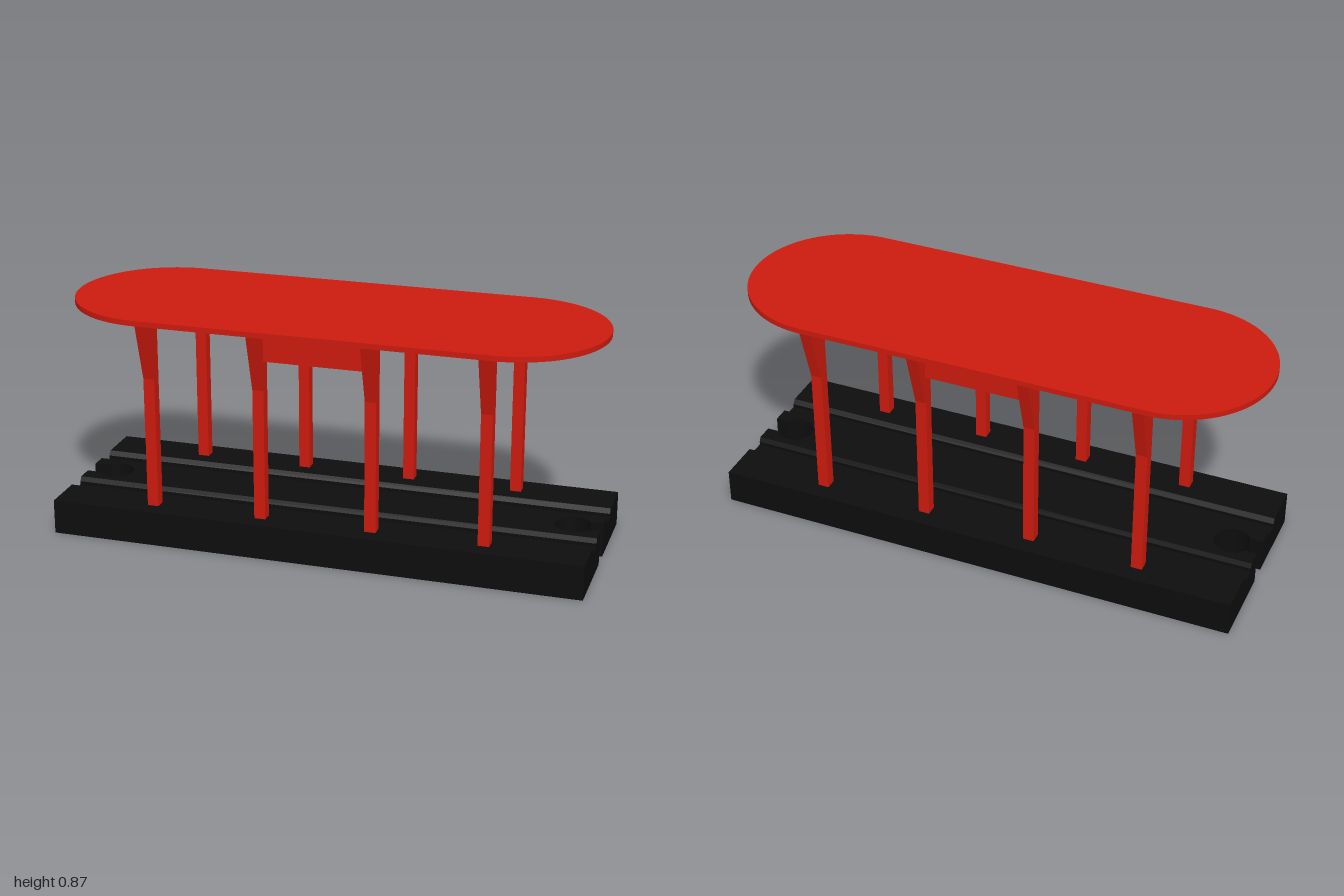
import * as THREE from 'three';

const red = new THREE.MeshStandardMaterial({ color: 0xcc1a0d });
const black = new THREE.MeshStandardMaterial({ color: 0x0d0d0d });

function part(geometry, material, name) {
  const mesh = new THREE.Mesh(geometry, material);
  mesh.name = name;
  return mesh;
}

// Extrudes a (z, y) profile along x, centred on the given x
function alongX(points, length, x = 0) {
  const shape = new THREE.Shape(points.map(([z, y]) => new THREE.Vector2(z, y)));
  const geometry = new THREE.ExtrudeGeometry(shape, { depth: length, bevelEnabled: false });
  return geometry.translate(0, 0, -length / 2).rotateY(-Math.PI / 2).translate(x, 0, 0);
}

// Extrudes a plan outline upwards from y
function upward(shape, height, y) {
  const geometry = new THREE.ExtrudeGeometry(shape, { depth: height, bevelEnabled: false, curveSegments: 32 });
  return geometry.rotateX(-Math.PI / 2).translate(0, y, 0);
}

export function createModel() {
  const model = new THREE.Group();
  model.name = 'coveredTrackPlatform';
  const baseTop = 0.13, roofBottom = 0.845, roofTop = 0.865;

  // Middle strip of the track with a keyhole socket in each end
  const w = 0.099, neck = 0.036, r = 0.068, cx = 0.895;
  const a = Math.asin(neck / r);
  const strip = new THREE.Shape();
  strip.moveTo(-1, -w);
  strip.lineTo(1, -w);
  strip.lineTo(1, -neck);
  strip.absarc(cx, 0, r, -a, a, true);
  strip.lineTo(1, neck);
  strip.lineTo(1, w);
  strip.lineTo(-1, w);
  strip.lineTo(-1, neck);
  strip.absarc(-cx, 0, r, Math.PI - a, Math.PI + a, true);
  strip.lineTo(-1, -neck);
  strip.closePath();
  model.add(part(upward(strip, baseTop, 0), black, 'trackCentre'));

  // Front and back halves are the same, turned half round
  for (const side of ['front', 'back']) {
    const half = new THREE.Group();
    half.name = side + 'Half';
    if (side === 'back') half.rotation.y = Math.PI;

    // Outer strip of the track with its wheel groove
    half.add(part(alongX([
      [w, 0], [0.35, 0], [0.35, baseTop], [0.186, baseTop], [0.173, 0.113], [0.173, 0.1],
      [0.108, 0.1], [0.108, 0.113], [w, baseTop],
    ], 2), black, 'trackSide'));

    // Posts flaring outwards under the roof
    for (const x of [-0.627, -0.209, 0.209, 0.627]) {
      half.add(part(alongX([
        [0.244, baseTop], [0.286, baseTop], [0.286, 0.627], [0.35, roofBottom], [0.244, roofBottom],
      ], 0.042, x), red, 'post'));
    }

    // Panel between the two middle posts
    const panel = part(new THREE.BoxGeometry(0.376, 0.107, 0.042), red, 'signPanel');
    panel.position.set(0, roofBottom - 0.0535, 0.265);
    half.add(panel);
    model.add(half);
  }

  // Flat roof with round ends
  const roof = new THREE.Shape();
  roof.absarc(0.65, 0, 0.35, -Math.PI / 2, Math.PI / 2, false);
  roof.absarc(-0.65, 0, 0.35, Math.PI / 2, Math.PI * 1.5, false);
  roof.closePath();
  model.add(part(upward(roof, roofTop - roofBottom, roofBottom), red, 'roof'));

  return model;
}
